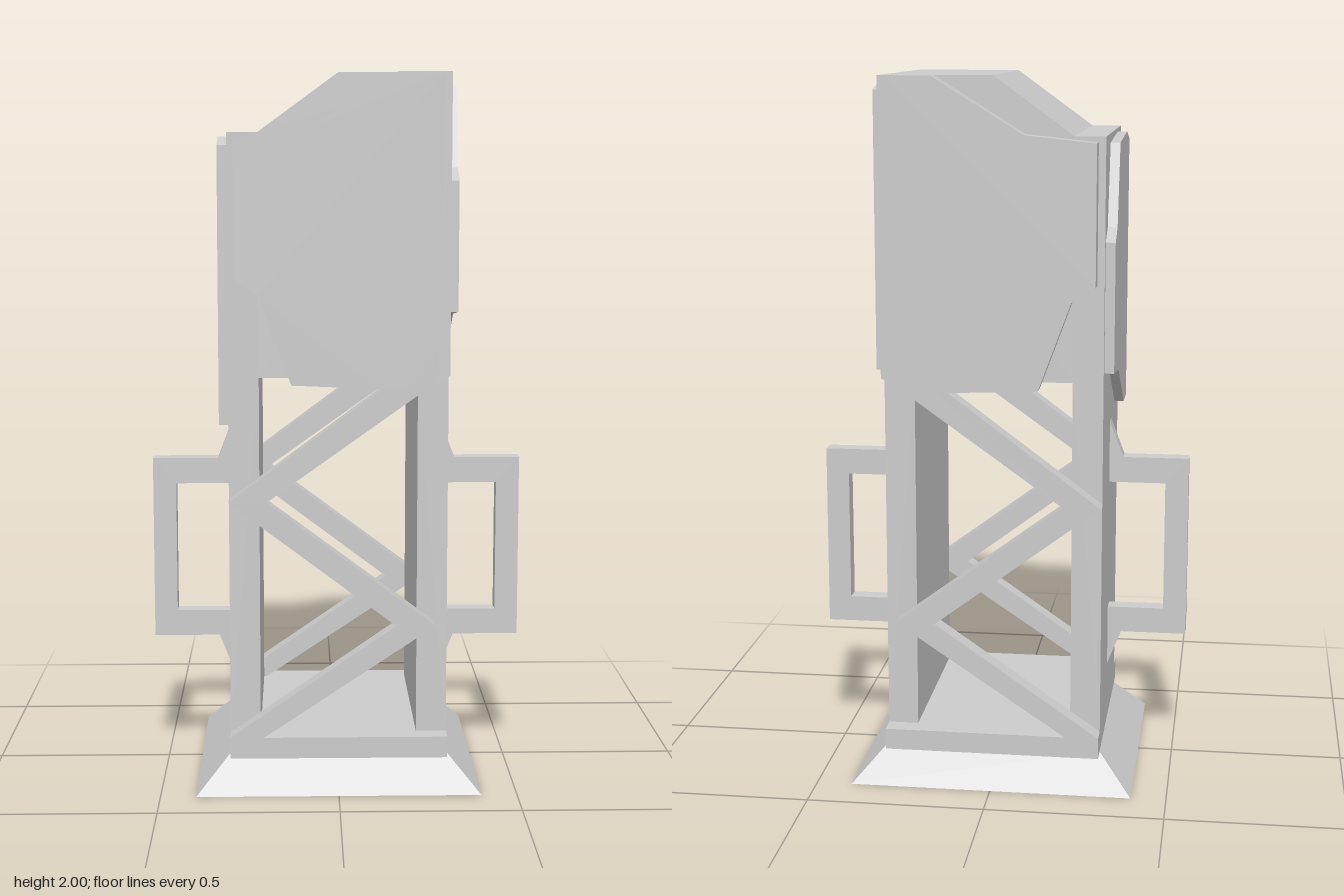
import * as THREE from 'three';

const material = new THREE.MeshStandardMaterial({ color: 0xcccccc, flatShading: true });
const openMaterial = new THREE.MeshStandardMaterial({
  color: 0xcccccc, flatShading: true, side: THREE.DoubleSide,
});

const toPoints = (list) => list.map(([x, y]) => new THREE.Vector2(x, y));

// Flat outline extruded from z0 to z0 + depth
function plate(outline, z0, depth, hole) {
  const shape = new THREE.Shape(toPoints(outline));
  if (hole) shape.holes.push(new THREE.Path(toPoints(hole)));
  const geometry = new THREE.ExtrudeGeometry(shape, { depth, bevelEnabled: false });
  return geometry.translate(0, 0, z0);
}

// Open four-sided frustum with the base's proportions
function openFrustum(topHalfWidth, bottomHalfWidth, y0, y1) {
  const r = Math.SQRT2;
  const geometry = new THREE.CylinderGeometry(topHalfWidth * r, bottomHalfWidth * r, y1 - y0, 4, 1, true);
  return geometry.rotateY(Math.PI / 4).scale(1, 1, 0.935).translate(0, (y0 + y1) / 2, 0);
}

export function createModel() {
  const model = new THREE.Group();
  const W = 0.305, D = 0.285, FACE = 0.057;

  function add(name, geometry, mat = material) {
    const mesh = new THREE.Mesh(geometry, mat);
    mesh.name = name;
    model.add(mesh);
    return mesh;
  }

  // Hollow base: sloping skirt and short collar below the floor
  add('baseSkirt', openFrustum(W, 0.4, 0, 0.1), openMaterial);
  add('baseCollar', openFrustum(W, W, 0.1, 0.15), openMaterial);

  // Body: side walls, floor and solid head with a sloping roof
  add('body', plate(
    [[-W, 0.15], [W, 0.15], [W, 2], [0, 2], [-0.22, 1.84], [-W, 1.84]],
    -D, 2 * D,
    [[-0.22, 0.16], [-0.22, 1.17], [0.22, 1.17], [0.22, 0.16]],
  ));

  // Zigzag brace with its bottom rail, and the head panel, on front and back
  const brace = [
    [-W, 0.1], [W, 0.1], [W, 0.16], [-0.21, 0.16], [0.27, 0.48], [-0.2, 0.83],
    [0.27, 1.165], [0.27, 1.25], [0.125, 1.15], [-W, 0.83], [0.16, 0.48], [-W, 0.16],
  ];
  const facePanel = [
    [-0.13, 1.155], [0.115, 1.145], [0.28, 1.165], [0.285, 2], [0.16, 2],
    [-0.09, 1.845], [-0.285, 1.825], [-0.285, 1.44], [-0.22, 1.4],
  ];
  // Narrow strip beside the head panel
  const strip = [[0.27, 1.165], [W, 1.18], [W, 2], [0.285, 2]];
  for (const [side, z0] of [['front', D], ['back', -D - FACE]]) {
    add(side + 'Brace', plate(brace, z0, FACE));
    add(side + 'Panel', plate(facePanel, z0, FACE));
    add(side + 'Strip', plate(strip, z0, FACE * 0.9).translate(0, 0, z0 < 0 ? FACE * 0.1 : 0));
  }

  // Side panels: the right-hand one is turned half round and sits lower
  const sidePanel = [
    [0.26, 1.96], [0.15, 1.985], [-0.125, 1.97], [-0.2, 1.745], [-0.265, 1.71],
    [-0.265, 1.35], [-0.09, 1.33], [0.15, 1.19], [0.26, 1.19],
  ];
  for (const [name, angle, y] of [['leftPanel', Math.PI / 2, 0], ['rightPanel', -Math.PI / 2, -0.155]]) {
    add(name, plate(sidePanel, W, 0.027).rotateY(angle).translate(0, y, 0));
  }

  // Handles with flared feet
  const handle = [
    [W, 1.01], [0.345, 0.905], [0.535, 0.905], [0.535, 0.375], [0.345, 0.375], [W, 0.275],
    [W, 0.45], [0.468, 0.45], [0.468, 0.83], [W, 0.83],
  ];
  add('leftHandle', plate(handle, -0.025, 0.05));
  add('rightHandle', plate(handle.map(([x, y]) => [-x, y]), -0.025, 0.05));

  return model;
}
